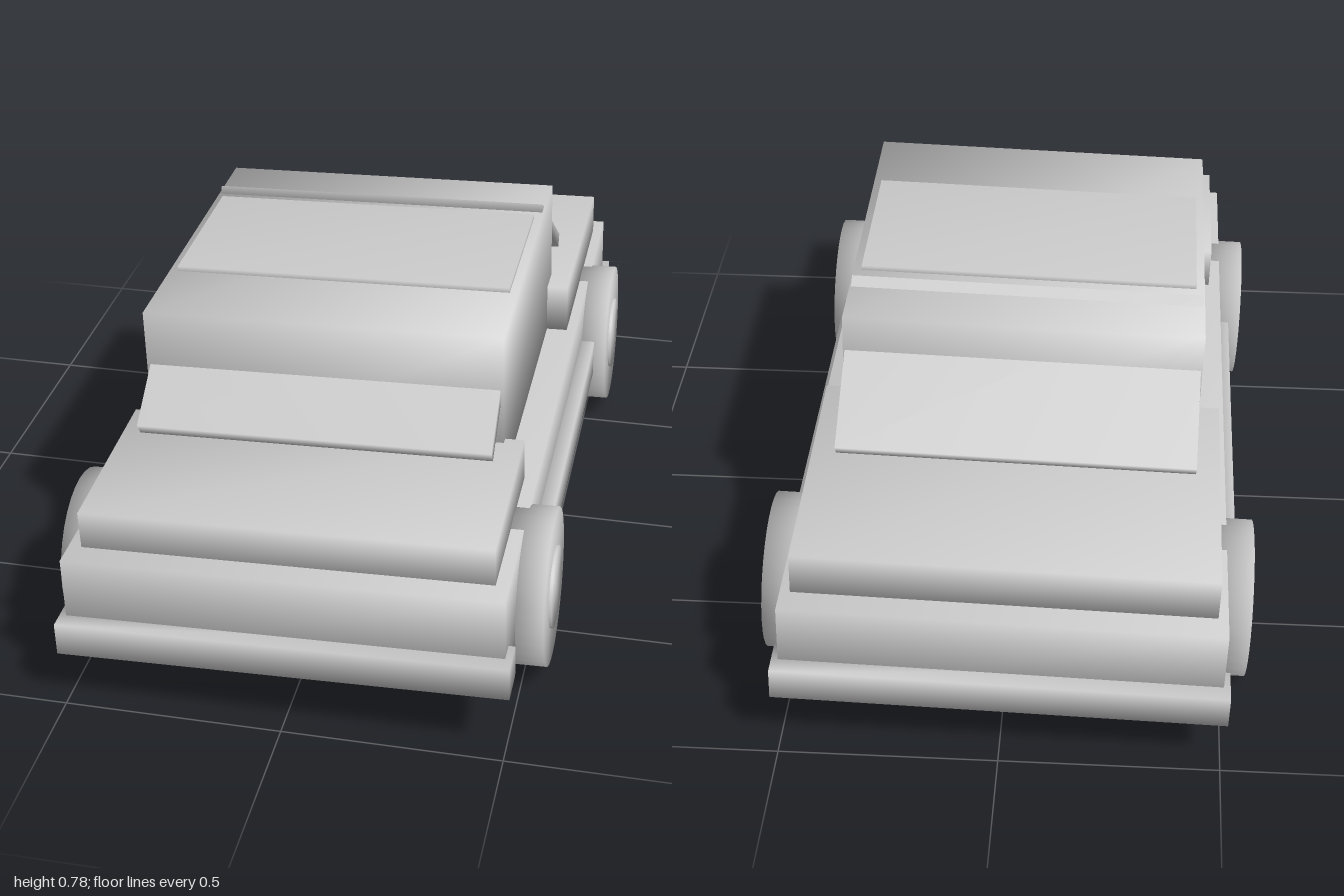
import * as THREE from 'three';
import { mergeVertices } from 'three/addons/utils/BufferGeometryUtils.js';

const material = new THREE.MeshStandardMaterial({ color: 0xcccccc });

// Weld shared corners so shading runs smoothly over every edge
function soften(geometry) {
  geometry.deleteAttribute('uv');
  geometry.deleteAttribute('normal');
  const welded = mergeVertices(geometry, 1e-4);
  welded.computeVertexNormals();
  return welded;
}

function addPart(parent, name, geometry, x, y, z, tilt = 0) {
  const mesh = new THREE.Mesh(soften(geometry), material);
  mesh.name = name;
  mesh.position.set(x, y, z);
  mesh.rotation.x = tilt;
  parent.add(mesh);
  return mesh;
}

const box = (w, h, d) => new THREE.BoxGeometry(w, h, d);
const disc = (radius, width) =>
  new THREE.CylinderGeometry(radius, radius, width, 32).rotateZ(Math.PI / 2);

export function createModel() {
  const model = new THREE.Group();
  model.name = 'car';

  // The whole car leans slightly to one side
  const car = new THREE.Group();
  car.name = 'leaningCar';
  car.rotation.z = 0.03;
  car.position.x = 0.003;
  model.add(car);

  // Lower body, hood and rear deck
  addPart(car, 'body', box(0.99, 0.235, 1.92), 0, 0.26, 0);
  addPart(car, 'hood', box(0.93, 0.12, 0.44), 0, 0.4145, 0.68, 0.03);
  addPart(car, 'rearDeck', box(0.944, 0.12, 0.62), 0, 0.43, -0.59, -0.03);

  // Cabin with roof panel and sloping window slabs
  addPart(car, 'cabin', box(0.84, 0.38, 0.84), 0, 0.562, 0.06);
  addPart(car, 'roofPanel', box(0.8, 0.03, 0.41), 0, 0.749, 0.052);
  addPart(car, 'windshield', box(0.824, 0.035, 0.396), 0, 0.6245, 0.439, 0.595);
  addPart(car, 'rearWindow', box(0.832, 0.035, 0.43), 0, 0.631, -0.371, -0.61);

  // Bumpers
  addPart(car, 'frontBumper', box(1.02, 0.078, 0.088), 0, 0.193, 0.956);
  addPart(car, 'rearBumper', box(1.02, 0.078, 0.088), 0, 0.193, -0.956);

  // Sills and wheels on both sides
  for (const [side, s] of [['left', 1], ['right', -1]]) {
    addPart(car, side + 'Sill', box(0.07, 0.09, 1.0), s * 0.493, 0.215, 0);
    for (const [end, z] of [['Front', 0.63], ['Rear', -0.617]]) {
      const wheel = new THREE.Group();
      wheel.name = side + end + 'Wheel';
      wheel.position.set(s * 0.508, 0.201, z);
      addPart(wheel, 'tyre', disc(0.183, 0.1), 0, 0, 0);
      addPart(wheel, 'hub', disc(0.095, 0.112), 0, 0, 0);
      car.add(wheel);
    }
  }
  return model;
}
